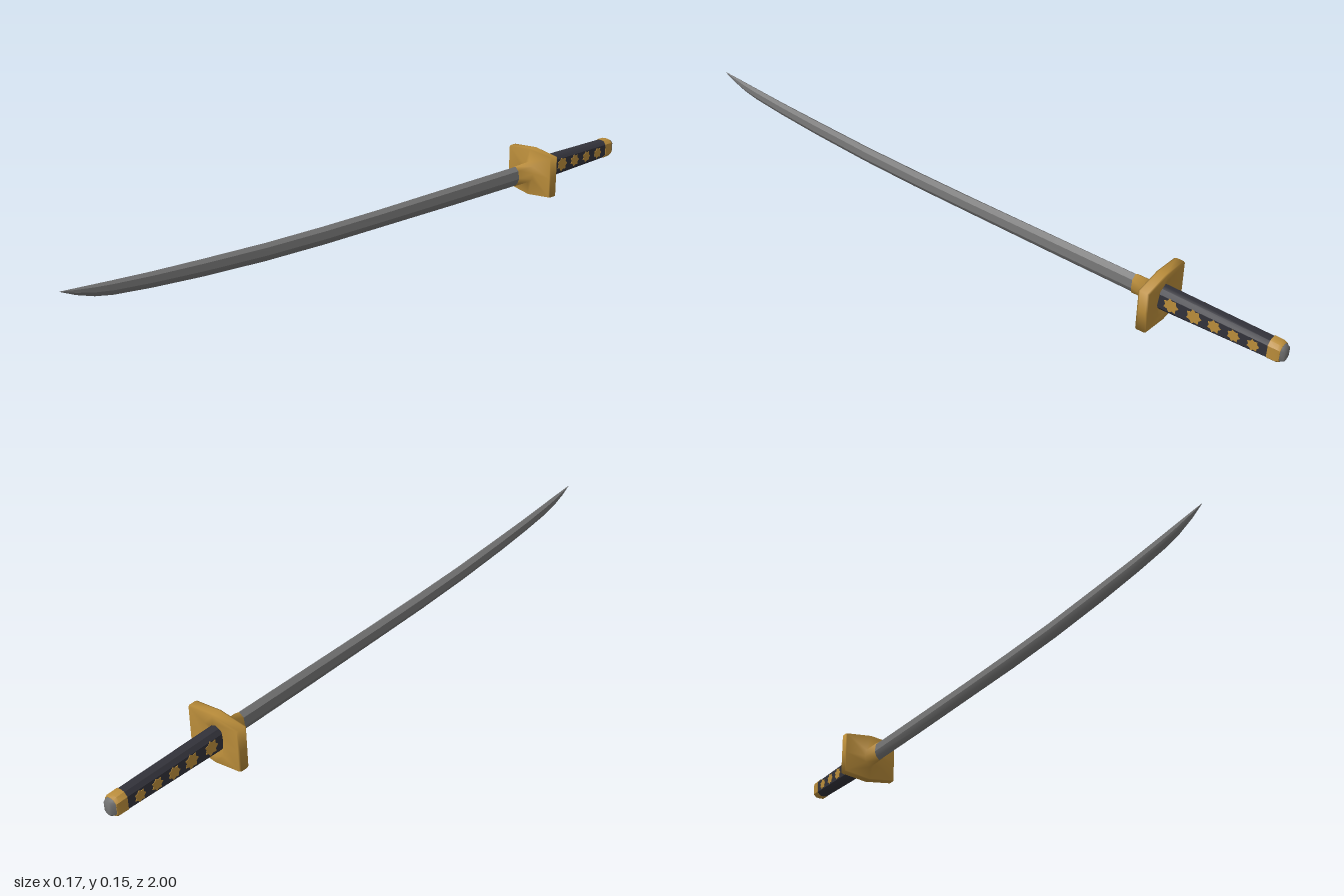
import * as THREE from 'three';
import { toCreasedNormals } from 'three/addons/utils/BufferGeometryUtils.js';

const gold = new THREE.MeshStandardMaterial({ color: 0xb98c3a });
gold.name = 'gold';
const steel = new THREE.MeshStandardMaterial({ color: 0x737373 });
steel.name = 'steel';
const wrap = new THREE.MeshStandardMaterial({ color: 0x32323a });
wrap.name = 'dark wrap';

// Skin counter-clockwise rings of [x, y], listed by increasing z; ends are closed on request
function loft(rings, capBack, capFront, crease) {
  const n = rings[0].pts.length, pos = [], idx = [];
  rings.forEach(r => r.pts.forEach(([x, y]) => pos.push(x, y, r.z)));
  for (let i = 0; i < rings.length - 1; i++) {
    for (let j = 0; j < n; j++) {
      const a = i * n + j, b = i * n + (j + 1) % n;
      idx.push(a, b, b + n, a, b + n, a + n);
    }
  }
  const last = (rings.length - 1) * n;
  for (let j = 1; j < n - 1; j++) {
    if (capBack) idx.push(0, j + 1, j);
    if (capFront) idx.push(last, last + j, last + j + 1);
  }
  const g = new THREE.BufferGeometry();
  g.setAttribute('position', new THREE.Float32BufferAttribute(pos, 3));
  g.setIndex(idx);
  if (crease) return toCreasedNormals(g, crease);
  g.computeVertexNormals();
  return g;
}

// Mirror a right-hand half profile (bottom to top, ends on the centre line)
const mirrored = half => [...half, ...half.slice(1, -1).reverse().map(([x, y]) => [-x, y])];

// Blade outline: width w between bottom b and top t
const bladeRing = (z, b, t, w) => ({
  z,
  pts: mirrored([[0, 0], [0.62, 0.17], [1, 0.42], [0.8, 0.82], [0, 1]]
    .map(([x, y]) => [x * w, b + y * (t - b)])),
});

// Grip outline: flat sides with chamfered top and bottom
const gripRing = (z, b, t, w) => ({
  z,
  pts: mirrored([[0, 0], [0.55, 0.03], [1, 0.2], [1, 0.8], [0.55, 0.97], [0, 1]]
    .map(([x, y]) => [x * w, b + y * (t - b)])),
});

function flowerGeometry(r) {
  const s = new THREE.Shape(), n = 14;
  for (let i = 0; i < n; i++) {
    const a = i / n * Math.PI * 2, d = i % 2 ? r * 0.72 : r;
    s[i ? 'lineTo' : 'moveTo'](Math.cos(a) * d, Math.sin(a) * d);
  }
  s.closePath();
  return new THREE.ExtrudeGeometry(s, { depth: 0.0015, bevelEnabled: false });
}

export function createModel() {
  const model = new THREE.Group();
  model.name = 'curvedSword';
  const add = (name, geometry, material) => {
    const m = new THREE.Mesh(geometry, material);
    m.name = name;
    model.add(m);
    return m;
  };

  // Curved blade rising to the tip
  const stations = [
    [-0.62, 0.043, 0.106, 0.017], [-0.3, 0.044, 0.104, 0.017], [0, 0.047, 0.102, 0.017],
    [0.2, 0.049, 0.103, 0.017], [0.4, 0.055, 0.107, 0.016], [0.6, 0.067, 0.116, 0.015],
    [0.75, 0.08, 0.124, 0.013], [0.86, 0.093, 0.132, 0.011], [0.91, 0.104, 0.136, 0.009],
    [0.96, 0.122, 0.14, 0.005], [1, 0.142, 0.143, 0.0004],
  ];
  add('blade', loft(stations.map(s => bladeRing(...s)), true, true, 0.45), steel);

  // Guard plate flowing into the blade collar, softly shaded, hollowed behind
  const ring = (z, x, sx, b, sb, m, st, t) => ({
    z,
    pts: [[x, m], [sx, st], [0, t], [-sx, st], [-x, m], [-sx, sb], [0, b], [sx, sb]],
  });
  const plate = (z, k) => ring(z, 0.087 * k, 0.087 * k, 0.075 - 0.075 * k, 0.075 - 0.063 * k,
    0.075, 0.075 + 0.065 * k, 0.075 + 0.075 * k);
  add('guard', loft([
    ring(-0.638, 0.02, 0.016, 0.04, 0.05, 0.075, 0.1, 0.11),
    ring(-0.65, 0.04, 0.03, 0.022, 0.036, 0.075, 0.114, 0.128),
    plate(-0.65, 0.97), plate(-0.645, 1), plate(-0.623, 1), plate(-0.618, 0.98),
    ring(-0.616, 0.0195, 0.016, 0.041, 0.055, 0.074, 0.096, 0.109),
    ring(-0.556, 0.0185, 0.015, 0.042, 0.054, 0.072, 0.096, 0.107),
  ], true, true), gold);

  // Grip, end cap and pommel face
  add('grip', loft([gripRing(-0.96, 0.049, 0.108, 0.021), gripRing(-0.63, 0.038, 0.112, 0.022)],
    true, true, 0.65), wrap);
  add('endCap', loft([gripRing(-0.99, 0.053, 0.105, 0.02), gripRing(-0.982, 0.049, 0.109, 0.0225),
    gripRing(-0.957, 0.048, 0.11, 0.0225)], true, true, 0.65), gold);
  add('pommelFace', loft([gripRing(-1, 0.059, 0.1, 0.014), gripRing(-0.988, 0.0535, 0.1045, 0.0195)],
    true, false), steel);

  // Flower inlays on both flat sides of the grip
  const flowers = [[-0.68, 0.023], [-0.748, 0.023], [-0.807, 0.02], [-0.863, 0.0185], [-0.918, 0.018]];
  flowers.forEach(([z, r], i) => {
    const geometry = flowerGeometry(r);
    for (const side of [1, -1]) {
      const f = add((side > 0 ? 'leftFlower' : 'rightFlower') + (i + 1), geometry, gold);
      f.position.set(side * 0.0214, 0.077, z);
      f.rotation.y = side * Math.PI / 2;
    }
  });

  return model;
}
